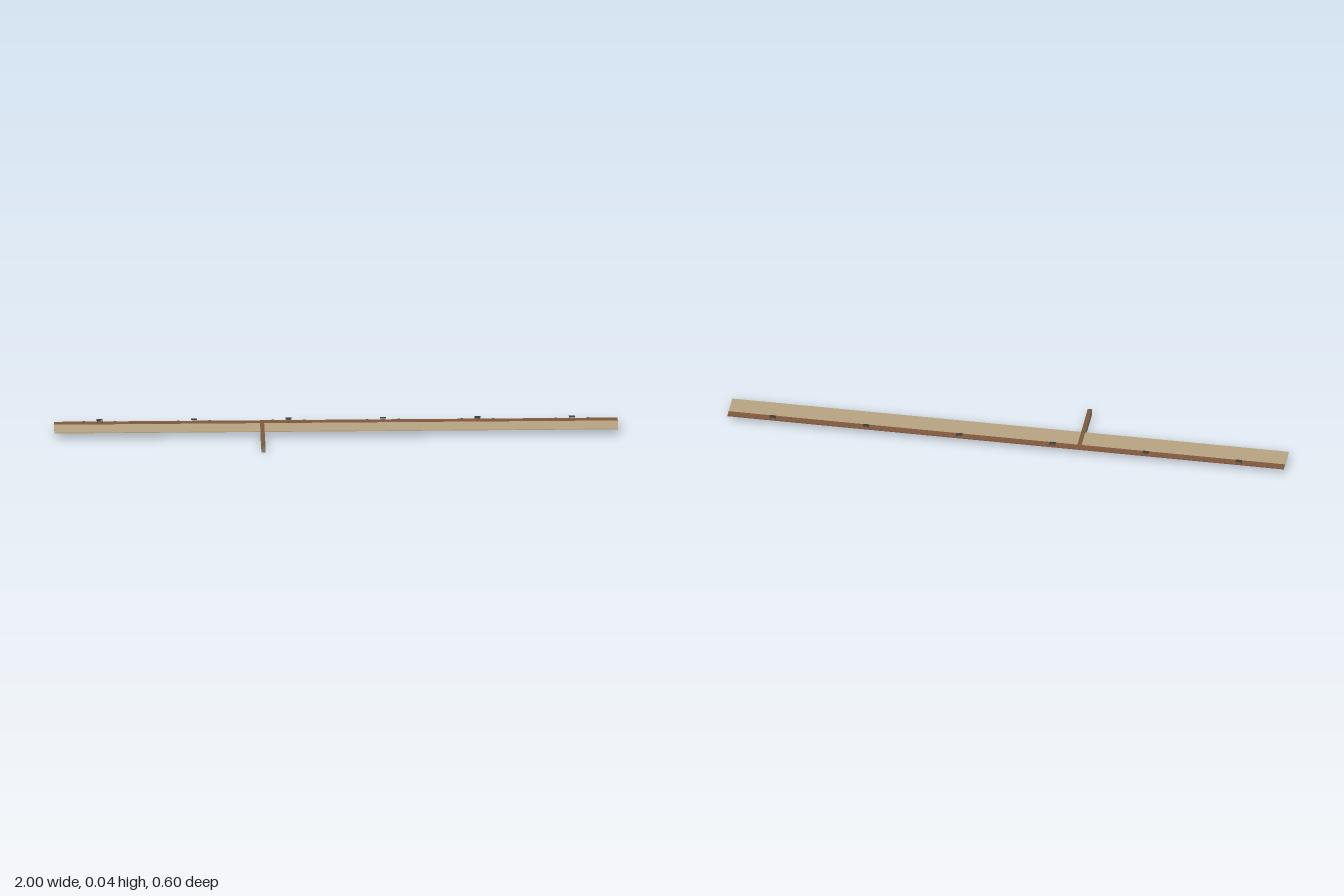
import * as THREE from 'three';

const mat = (color) => new THREE.MeshStandardMaterial({ color, flatShading: true });
const SAND = mat(0xb5a280), BRICK = mat(0x80583c), STONE = mat(0x827b6a);
const WOOD = mat(0x7a5a3e), DARK = mat(0x3a3a38);

// Box from size and centre, with y given as bottom and top
function box(parent, name, material, x, z, w, d, y0, y1) {
  const mesh = new THREE.Mesh(new THREE.BoxGeometry(w, y1 - y0, d), material);
  mesh.position.set(x, (y0 + y1) / 2, z);
  mesh.name = name;
  parent.add(mesh);
  return mesh;
}

// Open shelter: four posts, back wall, seat and flat roof
function shelter(x, z, y) {
  const g = new THREE.Group();
  g.name = 'shelter';
  g.position.set(x, y, z);
  for (const sx of [-1, 1]) for (const sz of [-1, 1])
    box(g, 'shelterPost', DARK, sx * 0.009, sz * 0.005, 0.001, 0.001, 0, 0.009);
  box(g, 'shelterRoof', DARK, 0, 0, 0.022, 0.014, 0.0085, 0.0098);
  box(g, 'shelterSeat', WOOD, 0, -0.003, 0.016, 0.004, 0.002, 0.003);
  return g;
}

// Bench: seat, backrest and two legs
function bench(x, z, y) {
  const g = new THREE.Group();
  g.name = 'bench';
  g.position.set(x, y, z);
  box(g, 'benchSeat', WOOD, 0, 0, 0.009, 0.003, 0.0015, 0.0021);
  box(g, 'benchBack', WOOD, 0, -0.0015, 0.009, 0.0005, 0.0021, 0.0045);
  for (const s of [-1, 1]) box(g, 'benchLeg', DARK, s * 0.0035, 0, 0.0006, 0.002, 0, 0.0015);
  return g;
}

// Street lamp: thin post with a small round head
function lamp(x, z, y) {
  const g = new THREE.Group();
  g.name = 'lamp';
  g.position.set(x, y, z);
  const post = new THREE.Mesh(new THREE.CylinderGeometry(0.0003, 0.0003, 0.006, 6), DARK);
  post.position.y = 0.003;
  post.name = 'lampPost';
  const head = new THREE.Mesh(new THREE.SphereGeometry(0.001, 8, 6), STONE);
  head.position.y = 0.0062;
  head.name = 'lampHead';
  g.add(post, head);
  return g;
}

export function createModel() {
  const root = new THREE.Group();
  root.name = 'seafront';
  // The whole seafront lies at an angle to the axes
  const site = new THREE.Group();
  site.name = 'site';
  site.rotation.y = THREE.MathUtils.degToRad(14);
  root.add(site);

  // Beach strip and raised promenade behind it
  const top = 0.0276;
  box(site, 'beach', SAND, 0, 0.0135, 2.03, 0.081, 0.0238, 0.0268);
  box(site, 'promenade', BRICK, 0, -0.0405, 2.03, 0.027, 0.0242, top);

  // Pier: deck over the sand, solid stone base beyond the beach
  box(site, 'pierDeck', WOOD, -0.2655, 0.0845, 0.015, 0.229, 0.0255, 0.0273);
  box(site, 'pierBase', STONE, -0.2655, 0.1265, 0.0144, 0.145, 0, 0.0255);

  // Shelters with a bench on either side
  for (let i = 0; i < 6; i++) {
    const x = -0.85 + 0.34 * i;
    site.add(shelter(x, -0.046, top));
    for (const s of [-1, 1]) site.add(bench(x + s * 0.057, -0.046, top));
  }

  // Lamps along the seaward edge
  for (let i = 0; i < 18; i++) site.add(lamp(-0.961 + 0.1131 * i, -0.029, top));
  return root;
}
